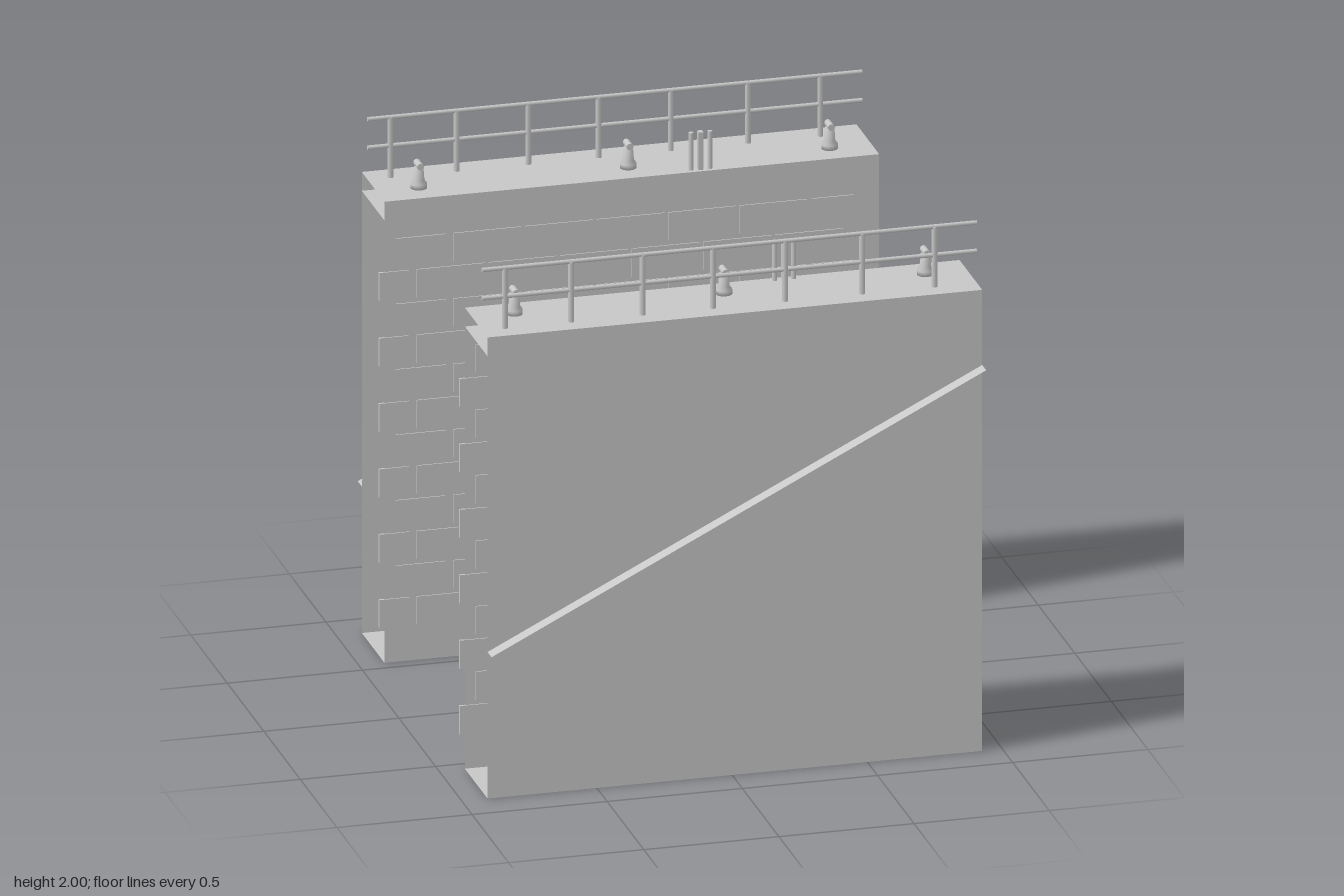
import * as THREE from 'three';

const concrete = new THREE.MeshStandardMaterial({ color: 0xc7c7c7, side: THREE.DoubleSide });
concrete.name = 'concrete grey';

const X0 = -0.905, X1 = 0.925, LEN = X1 - X0, MID = (X0 + X1) / 2;
const TOP = 1.762, INNER = 0.55, OUTER = 0.86;

function add(parent, name, geometry, x, y, z) {
  const mesh = new THREE.Mesh(geometry, concrete);
  mesh.name = name;
  mesh.position.set(x, y, z);
  parent.add(mesh);
  return mesh;
}

const box = (w, h, d) => new THREE.BoxGeometry(w, h, d);

// joint positions of the facing blocks in even and odd rows
const PITCH = 0.265;
const joints = (first) => Array.from({ length: 6 }, (_, i) => first + PITCH * i);
const ROWS = [
  [-0.925, ...joints(-0.8), 0.79],
  [-0.865, ...joints(-0.665), 0.83],
];

function createSide(s) {
  const side = new THREE.Group();
  side.name = s > 0 ? 'frontWall' : 'backWall';

  // hollow wall, open at both ends
  for (const [name, z, facing] of [['outerFace', OUTER, s], ['innerFace', INNER, -s]]) {
    const face = new THREE.PlaneGeometry(LEN, TOP);
    if (facing < 0) face.rotateY(Math.PI);
    add(side, name, face, MID, TOP / 2, s * z);
  }
  for (const [name, y, turn] of [['topDeck', TOP, -1], ['ceiling', 1.69, -1], ['floor', 0, 1]]) {
    const sheet = new THREE.PlaneGeometry(LEN, OUTER - INNER).rotateX(turn * Math.PI / 2);
    add(side, name, sheet, MID, y, s * (INNER + OUTER) / 2);
  }

  // sloping ledge along the outer face
  const rise = 1.475 - 0.56;
  const ledge = new THREE.PlaneGeometry(Math.hypot(LEN, rise), 0.055).rotateX(-Math.PI / 2);
  add(side, 'slopingLedge', ledge, MID, 0.56 + rise / 2, s * (OUTER + 0.0275))
    .rotation.z = Math.atan2(rise, LEN);

  // staggered facing blocks on the inner face
  const blocks = new THREE.Group();
  blocks.name = 'facingBlocks';
  for (let row = 0; row < 12; row++) {
    const edges = ROWS[row % 2];
    for (let i = 0; i < edges.length - 1; i++) {
      const width = edges[i + 1] - edges[i] - 0.014;
      add(blocks, 'facingBlock', box(width, 0.108, 0.009),
        edges[i] + width / 2 + (i === 0 ? 0 : 0.014), 0.189 + 0.125 * row, s * INNER);
    }
  }
  side.add(blocks);

  // ladder post and its two hand grips
  add(side, 'ladderPost', box(0.018, 1.645, 0.024), 0.27, 1.0825, s * 0.575);
  const grip = new THREE.CylinderGeometry(0.009, 0.009, 0.185, 10);
  for (const x of [0.235, 0.305]) add(side, 'ladderGrip', grip, x, 1.8125, s * 0.573);

  // mooring bollards
  const profile = [[0, 0], [0.03, 0], [0.03, 0.018], [0.021, 0.03], [0.017, 0.08], [0, 0.08]]
    .map(([r, y]) => new THREE.Vector2(r, y));
  const body = new THREE.LatheGeometry(profile, 16);
  const head = new THREE.CylinderGeometry(0.013, 0.013, 0.054, 10).rotateX(Math.PI / 2);
  for (const x of [-0.75, 0.025, 0.77]) {
    const bollard = new THREE.Group();
    bollard.name = 'bollard';
    bollard.position.set(x, TOP, s * 0.655);
    add(bollard, 'bollardBody', body, 0, 0, 0);
    add(bollard, 'bollardHead', head, 0, 0.088, 0);
    side.add(bollard);
  }

  // guard railing
  const railing = new THREE.Group();
  railing.name = 'railing';
  const post = new THREE.CylinderGeometry(0.011, 0.011, 0.238, 8);
  for (const x of [-0.82, -0.575, -0.31, -0.05, 0.217, 0.502, 0.77]) {
    add(railing, 'railingPost', post, x, 1.873, s * 0.783);
  }
  const rail = new THREE.CylinderGeometry(0.0085, 0.0085, LEN, 8).rotateZ(Math.PI / 2);
  for (const y of [1.883, 1.9915]) add(railing, 'rail', rail, MID, y, s * 0.783);
  side.add(railing);
  return side;
}

export function createModel() {
  const model = new THREE.Group();
  model.name = 'lockWalls';
  for (const s of [1, -1]) model.add(createSide(s));
  return model;
}
